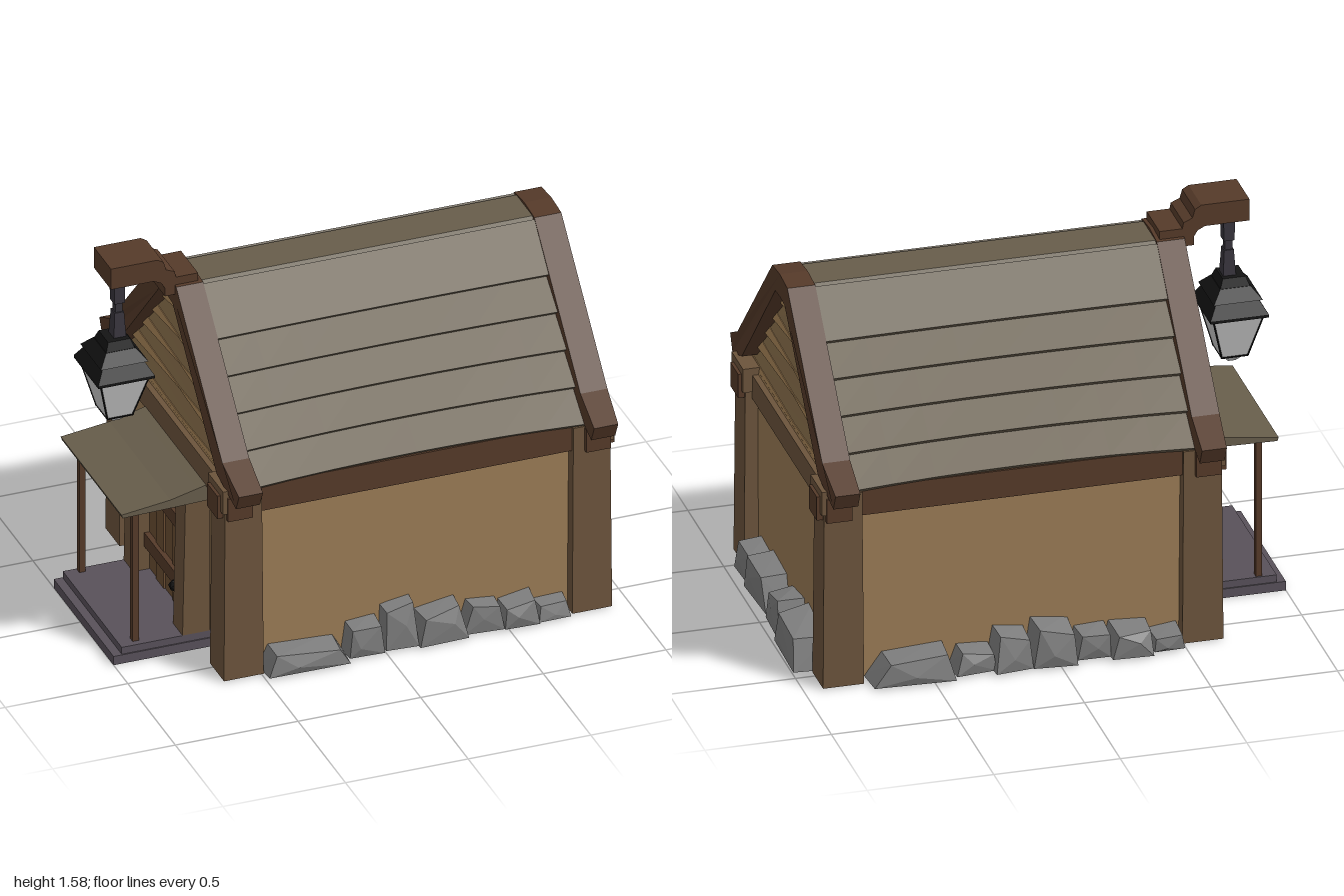
import * as THREE from 'three';
import { ConvexGeometry } from 'three/addons/geometries/ConvexGeometry.js';

const mat = (color) => new THREE.MeshStandardMaterial({ color, flatShading: true });
const M = {
  wall: mat(0x9a7b55), post: mat(0x6c543c), beam: mat(0x553a29), roof: mat(0x675d4b),
  siding: mat(0x8c714d), sidingLip: mat(0xa98558), stone: mat(0x7e7e7e), metal: mat(0x141414),
  chain: mat(0x38353d), slab: mat(0x58515a), glass: mat(0xc4c4c4), door: mat(0x6b4e33),
};

function add(parent, name, geometry, material) {
  const mesh = new THREE.Mesh(geometry, material);
  mesh.name = name;
  parent.add(mesh);
  return mesh;
}

function box(parent, name, material, x0, x1, y0, y1, z0, z1) {
  const g = new THREE.BoxGeometry(x1 - x0, y1 - y0, z1 - z0);
  g.translate((x0 + x1) / 2, (y0 + y1) / 2, (z0 + z1) / 2);
  return add(parent, name, g, material);
}

// Move every vertex of a geometry by a rule
function warp(g, rule) {
  const p = g.attributes.position, v = new THREE.Vector3();
  for (let i = 0; i < p.count; i++) {
    v.fromBufferAttribute(p, i);
    rule(v);
    p.setXYZ(i, v.x, v.y, v.z);
  }
  g.computeVertexNormals();
  return g;
}

function extrude(points, depth) {
  const shape = new THREE.Shape(points.map(([a, b]) => new THREE.Vector2(a, b)));
  return new THREE.ExtrudeGeometry(shape, { depth, bevelEnabled: false });
}

// Extrude a (z, y) profile along x
const extrudeX = (points, x0, x1) =>
  extrude(points.map(([z, y]) => [-z, y]), x1 - x0).rotateY(Math.PI / 2).translate(x0, 0, 0);

// Right half of a symmetric (z, y) outline, mirrored to a full loop
const mirrored = (half) => [...half, ...half.map(([z, y]) => [-z, y]).reverse()];

// Four-sided tapered block, r = half width of each side
function frustum(rTop, rBottom, y0, y1) {
  const g = new THREE.CylinderGeometry(rTop * Math.SQRT2, rBottom * Math.SQRT2, y1 - y0, 4);
  return g.rotateY(Math.PI / 4).translate(0, (y0 + y1) / 2, 0);
}

let seed = 11;
const rand = () => (seed = (seed * 16807) % 2147483647) / 2147483647;

// Angular stone against a wall; length runs along x, outward is +z
function stone(parent, a, b, h, d) {
  const pts = [];
  const w = b - a, tall = rand() < 0.5 ? a : b;
  for (const [t, side] of [[a, 1], [b, -1]]) {
    const hy = t === tall ? h : h * (0.78 + 0.18 * rand());
    const tx = t + side * w * (0.04 + 0.18 * rand());
    pts.push(
      new THREE.Vector3(t, 0.01, 0), new THREE.Vector3(tx, hy, 0),
      new THREE.Vector3(t + side * 0.01, 0.01, d * (0.85 + 0.15 * rand())),
      new THREE.Vector3(tx + side * w * 0.08 * rand(), hy * (0.86 + 0.12 * rand()), d * (0.76 + 0.22 * rand())));
  }
  // Bulging corner on the outer face
  pts.push(new THREE.Vector3(a + w * (0.3 + 0.4 * rand()), h * (0.3 + 0.3 * rand()), d));
  add(parent, 'stone', new ConvexGeometry(pts), M.stone);
}

function buildHouse() {
  const house = new THREE.Group();
  house.name = 'house';
  box(house, 'walls', M.wall, -0.735, 0.735, 0.01, 0.82, -0.57, 0.57);
  add(house, 'atticCore', extrudeX(mirrored([[0.55, 0.8], [0.55, 0.84], [0.08, 1.37]]), -0.69, 0.69), M.siding);

  // Corner posts, slightly wider at the foot, with projecting beam ends
  for (const sx of [-1, 1]) for (const sz of [-1, 1]) {
    const g = warp(new THREE.BoxGeometry(0.15, 0.81, 0.14), (v) => {
      if (v.y < 0) { v.x *= 1.08; v.z *= 1.06; }
    });
    add(house, 'cornerPost', g, M.post).position.set(sx * 0.71, 0.41, sz * 0.55);
    add(house, 'beamEnd', new THREE.BoxGeometry(0.09, 0.1, 0.11), M.beam).position.set(sx * 0.765, 0.76, sz * 0.547);
    add(house, 'beamEndCap', new THREE.BoxGeometry(0.08, 0.1, 0.16), M.post).position.set(sx * 0.757, 0.79, sz * 0.55);
    add(house, 'eaveBeamEnd', new THREE.BoxGeometry(0.1, 0.1, 0.08), M.beam).position.set(sx * 0.73, 0.76, sz * 0.6);
  }

  // Horizontal beams below the roof
  for (const s of [-1, 1]) {
    box(house, 'eaveBeam', M.beam, -0.66, 0.66, 0.71, 0.825, s * 0.575 - 0.03, s * 0.575 + 0.03);
    box(house, 'gableBeam', M.post, s * 0.74 - 0.02, s * 0.74 + 0.02, 0.71, 0.81, -0.5, 0.5);
  }

  // Thick bent rafters framing each gable
  const rafter = [
    [0, 1.465], [0.105, 1.455], [0.59, 0.943], [0.735, 0.868], [0.703, 0.8],
    [0.53, 0.865], [0.065, 1.365], [0, 1.37],
  ];
  const loop = [...rafter, ...rafter.slice(1, -1).map(([z, y]) => [-z, y]).reverse()];
  for (const s of [-1, 1]) {
    const g = warp(extrudeX(loop, s * 0.73 - 0.055, s * 0.73 + 0.055), (v) => {
      if (Math.abs(v.z) > 0.68 && Math.abs(v.x) > 0.7) v.x -= s * 0.012;
    });
    add(house, 'gableRafter', g, M.beam);
  }

  // Lapped gable boards with arched edges, leaning out at the foot, with a paler lip
  const rows = [0.8, 0.92, 1.03, 1.14, 1.255, 1.375];
  const half = (y) => 0.1 + (1.365 - y) * 0.92;
  for (const s of [-1, 1]) for (let i = 0; i < 5; i++) {
    const y0 = rows[i], y1 = rows[i + 1], rise = i ? 0.025 : 0;
    const lean = (v) => { v.x += s * (0.7 + 0.02 * THREE.MathUtils.clamp((y1 - v.y) / (y1 - y0), 0, 1)); };
    const board = extrudeX([[half(y0), y0], [0, y0 + rise], [-half(y0), y0], [-half(y1), y1], [0, y1 + 0.025], [half(y1), y1]], -0.015, 0.015);
    add(house, 'gableBoard', warp(board, lean), M.siding);
    const top = y0 + 0.045;
    const lip = extrudeX([[half(y0), y0], [0, y0 + rise], [-half(y0), y0], [-half(top), top], [0, y0 + 0.03], [half(top), top]], -0.018, 0.018);
    add(house, 'gableBoardLip', warp(lip, lean), M.sidingLip);
  }

  // Roof boards: overlapping, feet lifted, lower edge gently arched
  const top = [0.144, 1.384], foot = [0.612, 0.814], n = 5;
  const at = (t) => [THREE.MathUtils.lerp(top[0], foot[0], t), THREE.MathUtils.lerp(top[1], foot[1], t)];
  const nz = 0.765, ny = 0.644;
  for (const s of [-1, 1]) for (let i = 0; i < n; i++) {
    const [zu, yu] = at(i ? i / n - 0.02 : -0.1), [zl, yl] = at((i + 1) / n);
    const g = warp(new THREE.BoxGeometry(1.37, 1, 1, 8, 1, 1), (v) => {
      const low = v.z > 0;
      const lift = (v.y > 0 ? 0.012 : -0.034) + (low ? 0.014 : i ? -0.02 : 0);
      const arch = low ? (0.003 + 0.003 * i) * (1 - (v.x / 0.685) ** 2) : 0;
      v.y = (low ? yl : yu) + lift * ny + arch;
      v.z = (low ? zl : zu) + lift * nz - arch * 0.8;
    });
    if (s < 0) g.rotateY(Math.PI);
    add(house, 'roofBoard', g, M.roof);
  }
  add(house, 'ridgeBoard', extrudeX(mirrored([[0.13, 1.37], [0.12, 1.41], [0.085, 1.453]]), -0.685, 0.685), M.roof);
  return house;
}

function buildStones() {
  const stones = new THREE.Group();
  stones.name = 'foundationStones';
  const row = (list, x, z, angle) => {
    const g = new THREE.Group();
    g.name = 'stoneRow';
    g.position.set(x, 0, z);
    g.rotation.y = angle;
    list.forEach((r) => stone(g, ...r));
    stones.add(g);
  };
  // Each stone: start, end, height, depth
  row([[-0.5, -0.15, 0.1, 0.14], [-0.16, 0, 0.145, 0.11], [-0.01, 0.14, 0.2, 0.1], [0.12, 0.34, 0.16, 0.12],
    [0.31, 0.49, 0.13, 0.1], [0.47, 0.63, 0.13, 0.12], [0.61, 0.76, 0.08, 0.1]], 0, 0.55, 0);
  row([[-0.75, -0.41, 0.12, 0.16], [-0.42, -0.24, 0.1, 0.13], [-0.27, -0.1, 0.16, 0.15], [-0.12, 0.07, 0.175, 0.16],
    [0.06, 0.21, 0.12, 0.13], [0.19, 0.37, 0.12, 0.16], [0.36, 0.5, 0.08, 0.14]], 0, -0.55, Math.PI);
  row([[-0.48, -0.27, 0.145, 0.12], [-0.31, -0.03, 0.165, 0.13], [-0.03, 0.21, 0.165, 0.13], [0.17, 0.48, 0.175, 0.15]],
    0.85, 0, Math.PI / 2);
  return stones;
}

function buildPorch() {
  const porch = new THREE.Group();
  porch.name = 'porch';
  box(porch, 'lowerStep', M.slab, -1, -0.55, 0, 0.038, -0.28, 0.35);
  box(porch, 'upperStep', M.slab, -0.965, -0.58, 0.038, 0.068, -0.275, 0.345);
  // Lean-to canopy, thicker toward the wall
  const canopy = extrude([[-0.965, 0.64], [-0.74, 0.645], [-0.57, 0.65], [-0.57, 0.73], [-0.66, 0.707], [-0.77, 0.68], [-0.97, 0.655]], 0.64);
  add(porch, 'canopy', canopy, M.roof).position.z = -0.285;
  for (const s of [-1, 1]) {
    const z = 0.025 + s * 0.28;
    box(porch, 'canopyPost', M.beam, -0.91, -0.885, 0.065, 0.65, z - 0.013, z + 0.013);
    // Door jamb, leaning out at the foot
    const jamb = warp(new THREE.BoxGeometry(0.1, 0.59, 0.1), (v) => { if (v.y < 0 && v.x < 0) v.x -= 0.012; });
    add(porch, 'doorJamb', jamb, M.post).position.set(-0.655, 0.36, 0.035 + s * 0.26);
  }
  box(porch, 'lintel', M.post, -0.69, -0.6, 0.6, 0.66, -0.27, 0.34);
  for (let i = 0; i < 5; i++) {
    const z = -0.18 + i * 0.086;
    box(porch, 'doorBoard', M.door, -0.65 - (i % 2) * 0.006, -0.6, 0.07, 0.6, z + 0.003, z + 0.083);
  }
  for (const y of [0.17, 0.43]) box(porch, 'doorBar', M.beam, -0.672, -0.64, y, y + 0.06, -0.175, 0.245);
  add(porch, 'doorHandle', new THREE.IcosahedronGeometry(0.025, 0), M.metal).position.set(-0.69, 0.2, 0.19);
  return porch;
}

function buildLantern() {
  const lantern = new THREE.Group();
  lantern.name = 'hangingLantern';
  // Stepped, scooped wooden bracket
  const bracket = extrude([[-0.91, 1.49], [-0.735, 1.49], [-0.705, 1.475], [-0.69, 1.45], [-0.69, 1.415], [-0.6, 1.415],
    [-0.555, 1.44], [-0.555, 1.49], [-0.645, 1.49], [-0.65, 1.515], [-0.685, 1.53], [-0.695, 1.565], [-0.72, 1.58], [-0.91, 1.58]], 0.18);
  add(lantern, 'bracket', bracket, M.beam).position.z = -0.09;

  const lamp = new THREE.Group();
  lamp.name = 'lamp';
  lamp.position.x = -0.861;
  lamp.scale.z = 1.12;
  lantern.add(lamp);
  // Hanger, tapering from top to cap
  for (const [a, b, y0, y1] of [[0.023, 0.021, 1.38, 1.49], [0.014, 0.015, 1.27, 1.4], [0.019, 0.026, 1.22, 1.34]])
    add(lamp, 'hanger', frustum(a, b, y0, y1), M.chain).position.x = 0.012;
  // Stacked roof of the lamp: top half width, bottom half width, y range
  for (const [a, b, y0, y1] of [[0.045, 0.06, 1.195, 1.235], [0.06, 0.097, 1.155, 1.2], [0.08, 0.115, 1.1, 1.16], [0.115, 0.115, 1.088, 1.1]])
    add(lamp, 'lampCap', frustum(a, b, y0, y1), M.metal);
  add(lamp, 'lampGlass', frustum(0.1, 0.052, 0.905, 1.09), M.glass);
  for (const sx of [-1, 1]) for (const sz of [-1, 1]) {
    const path = new THREE.LineCurve3(new THREE.Vector3(sx * 0.099, 1.09, sz * 0.099), new THREE.Vector3(sx * 0.051, 0.903, sz * 0.051));
    add(lamp, 'lampCornerBar', new THREE.TubeGeometry(path, 1, 0.004, 4), M.metal);
  }
  add(lamp, 'lampBase', frustum(0.056, 0.052, 0.9, 0.908), M.metal);
  add(lamp, 'lampTip', frustum(0.04, 0.015, 0.868, 0.9), M.glass);
  return lantern;
}

export function createModel() {
  const model = new THREE.Group();
  model.name = 'cottage';
  const house = buildHouse();
  house.position.x = 0.135;
  model.add(house, buildStones(), buildPorch(), buildLantern());
  return model;
}
